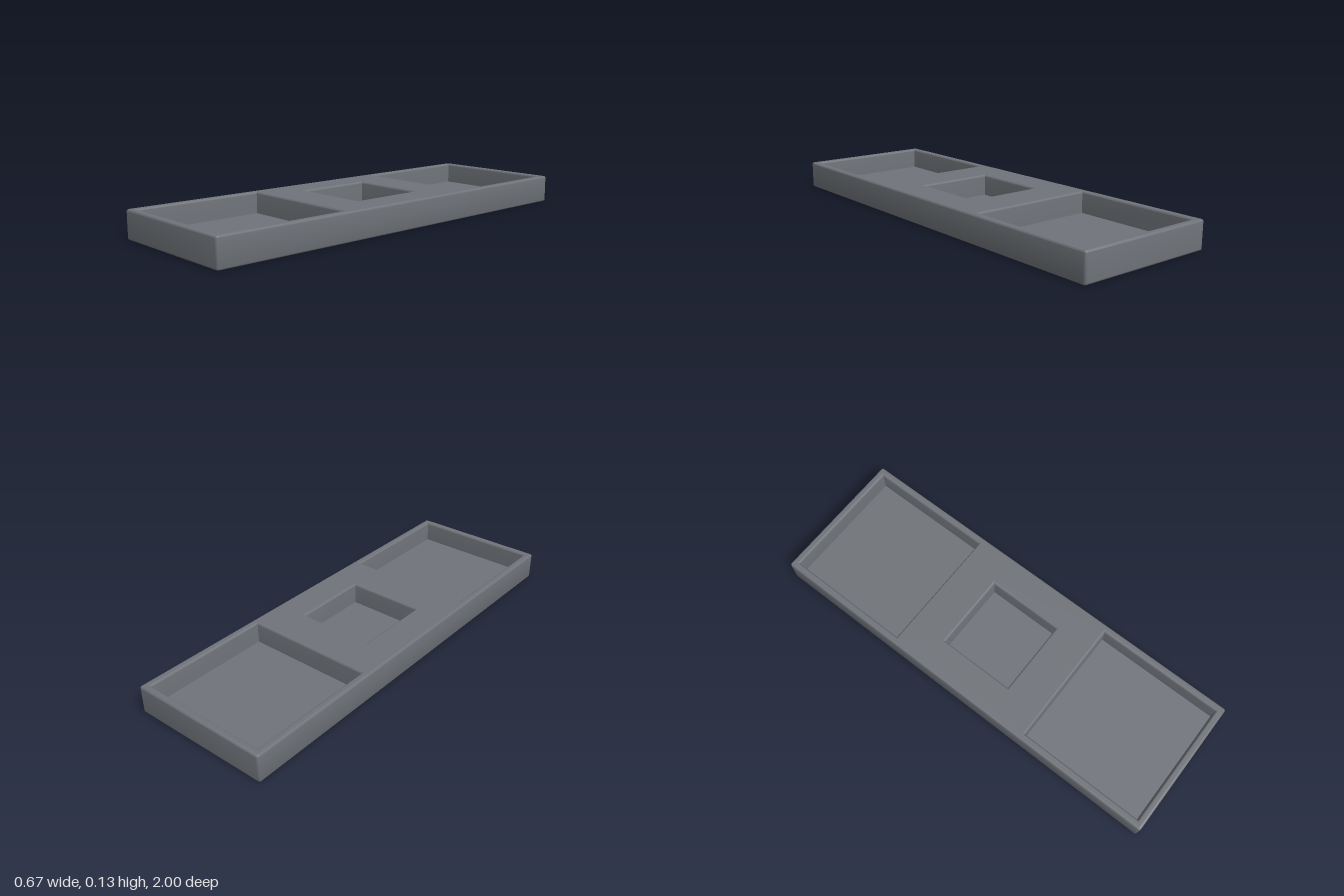
import * as THREE from 'three';
import { mergeGeometries, toCreasedNormals } from 'three/addons/utils/BufferGeometryUtils.js';

const W = 0.333, L = 1, H = 0.13, FLOOR = 0.03; // half width, half length, height, pocket floor
const R = 0.01, CORNER = 0.0105, SEG = 6;       // edge fillet, upright corner radius

// Counter-clockwise rectangle outline seen from above, in (x, -z); rounded when r > 0
function outline(hx, hz, r = 0, cz = 0) {
  const pts = [];
  [[1, 1], [-1, 1], [-1, -1], [1, -1]].forEach(([sx, sy], q) => {
    const n = r > 0 ? SEG : 0;
    for (let i = 0; i <= n; i++) {
      const a = n ? (q + i / n) * Math.PI / 2 : 0;
      const c = n ? r * Math.cos(a) : 0, s = n ? r * Math.sin(a) : 0;
      pts.push(new THREE.Vector2(sx * (hx - r) + c, sy * (hz - r) + s - cz));
    }
  });
  return pts;
}

// Wall running through a list of { pts, y } rings
function loft(rings) {
  const n = rings[0].pts.length, pos = [], index = [];
  rings.forEach(({ pts, y }) => pts.forEach(p => pos.push(p.x, y, -p.y)));
  for (let j = 0; j < rings.length - 1; j++) {
    for (let i = 0; i < n; i++) {
      const a = j * n + i, b = j * n + (i + 1) % n;
      index.push(a, b, b + n, a, b + n, a + n);
    }
  }
  const geo = new THREE.BufferGeometry();
  geo.setAttribute('position', new THREE.Float32BufferAttribute(pos, 3));
  geo.setIndex(index);
  return toCreasedNormals(geo, 0.5);
}

// Flat face at height y, facing up or down
function cap(pts, y, holes = [], down = false) {
  const shape = new THREE.Shape(pts);
  shape.holes = holes.map(h => new THREE.Path(h));
  const geo = new THREE.ShapeGeometry(shape).rotateX(down ? Math.PI / 2 : -Math.PI / 2).translate(0, y, 0);
  geo.deleteAttribute('uv');
  return geo.toNonIndexed();
}

export function createModel() {
  const group = new THREE.Group();
  group.name = 'tray';
  const grey = new THREE.MeshStandardMaterial({ color: 0x70747a });
  grey.name = 'slate grey';
  const add = (name, geos) => {
    const mesh = new THREE.Mesh(mergeGeometries(geos), grey);
    mesh.name = name;
    group.add(mesh);
  };

  // Quarter-round steps: sideways offset and drop from the edge
  const fillet = [];
  for (let i = 0; i <= SEG; i++) {
    const t = i / SEG * Math.PI / 2;
    fillet.push({ off: R * (1 - Math.cos(t)), drop: R * (1 - Math.sin(t)) });
  }

  // Three square pockets: large ones at the ends, a small one in the middle
  const pockets = [
    { name: 'frontPocket', half: 0.3, z: 0.667 },
    { name: 'centrePocket', half: 0.18, z: 0 },
    { name: 'backPocket', half: 0.3, z: -0.667 },
  ];
  const pocketRing = (p, off) => outline(p.half + off, p.half + off, 0, p.z);
  for (const p of pockets) {
    const rings = [...fillet].reverse().map(f => ({ pts: pocketRing(p, f.off), y: H - f.drop }));
    rings.push({ pts: pocketRing(p, 0), y: FLOOR });
    add(p.name, [loft(rings), cap(pocketRing(p, 0), FLOOR)]);
  }

  // Outer body with rounded edges
  const bodyRing = off => outline(W - off, L - off, CORNER - off);
  add('outerWall', [loft([
    ...[...fillet].reverse().map(f => ({ pts: bodyRing(f.off), y: f.drop })),
    ...fillet.map(f => ({ pts: bodyRing(f.off), y: H - f.drop })),
  ])]);
  add('topFace', [cap(bodyRing(R), H, pockets.map(p => pocketRing(p, R)))]);
  add('base', [cap(bodyRing(R), 0, [], true)]);
  return group;
}
